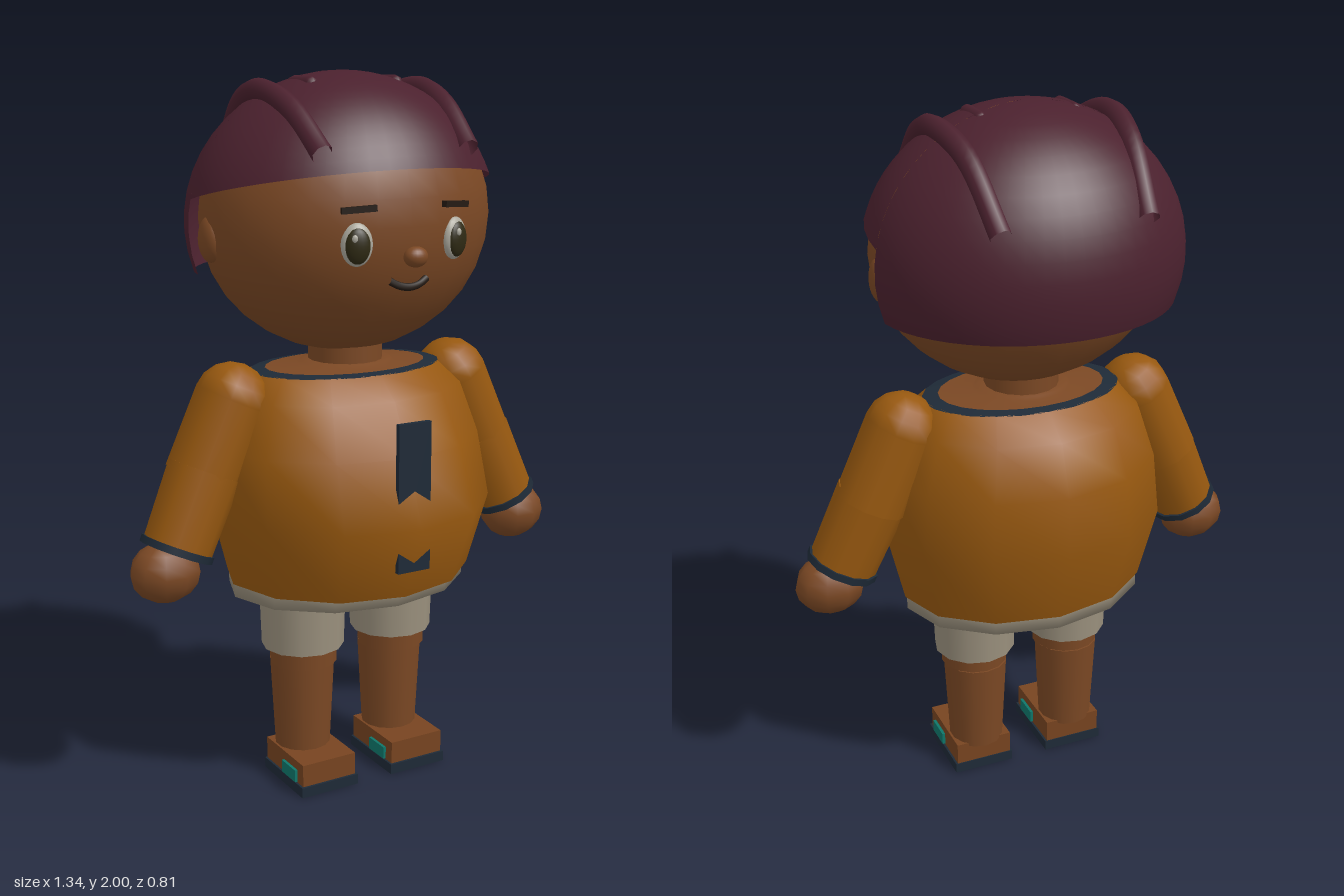
import * as THREE from 'three';

const mat = (name, color, side = THREE.FrontSide) => {
  const m = new THREE.MeshStandardMaterial({ color, side });
  m.name = name;
  return m;
};

export function createModel() {
  const skin = mat('skin', 0x7b4824);
  const hair = mat('hair', 0x4b212e, THREE.DoubleSide);
  const orange = mat('shirt orange', 0x97580f);
  const navy = mat('navy trim', 0x1e2a37, THREE.DoubleSide);
  const cream = mat('shorts cream', 0x9a907d, THREE.DoubleSide);
  const teal = mat('teal', 0x0f766a);
  const white = mat('eye white', 0xaba89c);
  const iris = mat('iris', 0x2f2a14);
  const dark = mat('brow and mouth', 0x241a13);
  const shoe = mat('shoe brown', 0x774420);

  const model = new THREE.Group();
  model.name = 'child';

  const add = (name, geo, material, x = 0, y = 0, z = 0, parent = model) => {
    const m = new THREE.Mesh(geo, material);
    m.name = name;
    m.position.set(x, y, z);
    parent.add(m);
    return m;
  };
  const ball = (rx, ry, rz, w = 20, h = 14) => new THREE.SphereGeometry(1, w, h).scale(rx, ry, rz);
  const box = (w, h, d) => new THREE.BoxGeometry(w, h, d);
  const tube = (pts, r, n = 20) => new THREE.TubeGeometry(
    new THREE.CatmullRomCurve3(pts.map(p => new THREE.Vector3(...p))), n, r, 8);

  // Oval rings [y, half width, front depth, back depth], joined from bottom to top
  const loft = (rings, n = 12) => {
    const pos = [], idx = [];
    rings.forEach(([y, rx, zf, zb], i) => {
      for (let j = 0; j < n; j++) {
        const a = j / n * Math.PI * 2, c = Math.cos(a);
        pos.push(Math.sin(a) * rx, y, c * (c > 0 ? zf : zb));
        if (i < rings.length - 1) {
          const p = i * n + j, q = i * n + (j + 1) % n;
          idx.push(p, q, p + n, q, q + n, p + n);
        }
      }
    });
    const g = new THREE.BufferGeometry();
    g.setAttribute('position', new THREE.Float32BufferAttribute(pos, 3));
    g.setIndex(idx);
    g.computeVertexNormals();
    return g;
  };

  // Torso
  add('shirt', loft([
    [0.61, 0.36, 0.325, 0.275], [0.82, 0.41, 0.405, 0.335], [1.0, 0.39, 0.335, 0.325],
    [1.14, 0.345, 0.265, 0.275], [1.2, 0.285, 0.19, 0.19],
  ]), orange);
  add('shirtUnderside', loft([[0.6, 0, 0, 0], [0.61, 0.36, 0.325, 0.275]].reverse()
    .map(([, rx, zf, zb]) => [0.608, rx, zf, zb]).reverse()), orange);
  add('collar', loft([[1.199, 0.285, 0.19, 0.19], [1.205, 0.24, 0.16, 0.16]], 24), navy);
  add('neckBase', loft([[1.203, 0.245, 0.165, 0.165], [1.208, 0.14, 0.12, 0.12], [1.217, 0.13, 0.115, 0.115],
    [1.219, 0.09, 0.09, 0.09]], 24), skin);
  add('neck', new THREE.CylinderGeometry(0.104, 0.104, 0.12, 16), skin, 0, 1.24, 0);
  add('chestStripe', box(0.1, 0.41, 0.015), navy, 0, 0.9, 0.359);
  add('waistband', loft([
    [0.61, 0.31, 0.25, 0.23], [0.575, 0.31, 0.25, 0.23], [0.572, 0.355, 0.29, 0.27], [0.612, 0.355, 0.29, 0.27],
  ]), cream);

  // Head
  add('head', ball(0.415, 0.37, 0.34, 28, 16), skin, 0, 1.615, 0);
  add('nose', ball(0.034, 0.027, 0.026), skin, 0, 1.54, 0.358);
  add('mouth', tube([[-0.056, 1.477, 0.322], [-0.03, 1.464, 0.328], [0, 1.459, 0.331],
    [0.03, 1.464, 0.328], [0.056, 1.477, 0.322]], 0.01), dark);

  // Hair shell: sphere sections stretched from the crown to a stepped hem
  const C = [0, 1.6, -0.02], R = [0.44, 0.4, 0.385], SPLIT = 1.714;
  const hairPatch = (front) => {
    const start = Math.PI / 2 + (front ? -SPLIT : SPLIT);
    const len = front ? 2 * SPLIT : 2 * (Math.PI - SPLIT);
    const g = new THREE.SphereGeometry(1, 24, 14, start, len, 0, 1);
    const p = g.attributes.position, nor = g.attributes.normal;
    for (let i = 0; i < p.count; i++) {
      const u = (i % 25) / 24, v = Math.floor(i / 25) / 14;
      const a = start + u * len - Math.PI / 2;
      let hem = Math.PI / 2;
      for (let k = 0; k < 10; k++) {
        const z = C[2] + R[2] * Math.sin(hem) * Math.cos(a);
        const y = front ? 1.67 + 0.22 * (z + 0.075) : 1.47;
        hem = Math.acos((y - C[1]) / R[1]);
      }
      const t = hem * v;
      const d = new THREE.Vector3(Math.sin(t) * Math.sin(a), Math.cos(t), Math.sin(t) * Math.cos(a));
      p.setXYZ(i, C[0] + d.x * R[0], C[1] + d.y * R[1], C[2] + d.z * R[2]);
      d.set(d.x / R[0], d.y / R[1], d.z / R[2]).normalize();
      nor.setXYZ(i, d.x, d.y, d.z);
    }
    return g;
  };
  add('hairFront', hairPatch(true), hair);
  add('hairBack', hairPatch(false), hair);

  for (const s of [1, -1]) {
    const side = s > 0 ? 'left' : 'right';

    // Hair strands
    add(side + 'Strand', tube([[s * 0.22, 1.8, 0.265], [s * 0.235, 1.912, 0.12], [s * 0.245, 1.952, -0.02],
      [s * 0.225, 1.91, -0.18], [s * 0.2, 1.75, -0.34]], 0.029, 28), hair);
    add(side + 'ShortStrand', new THREE.CapsuleGeometry(0.02, 0.09, 4, 8).rotateX(Math.PI / 2),
      hair, s * 0.13, 1.966, 0);

    // Face
    add(side + 'Ear', ball(0.03, 0.062, 0.046), skin, s * 0.4, 1.57, -0.015);
    const eye = new THREE.Group();
    eye.name = side + 'Eye';
    eye.position.set(s * 0.148, 1.575, 0.312);
    eye.rotation.y = s * 0.3;
    model.add(eye);
    add('eyeWhite', ball(0.042, 0.056, 0.022), white, 0, 0, 0, eye);
    add('iris', ball(0.034, 0.047, 0.018), iris, 0, -0.002, 0.009, eye);
    add('eyeGlint', ball(0.008, 0.01, 0.005, 10, 8), white, -0.01, 0.018, 0.024, eye);
    add(side + 'Brow', box(0.092, 0.016, 0.02), dark, s * 0.145, 1.664, 0.317).rotation.set(0, s * 0.3, s * -0.06);

    // Arm, hanging along its own -y axis from the shoulder
    const arm = new THREE.Group();
    arm.name = side + 'Arm';
    arm.position.set(s * 0.355, 1.14, 0);
    arm.rotation.z = s * 0.43;
    model.add(arm);
    add('shoulder', ball(0.1, 0.1, 0.108, 12, 8), orange, 0, 0, 0, arm);
    add('upperSleeve', new THREE.CylinderGeometry(0.1, 0.1, 0.23, 12).scale(1, 1, 1.07), orange, 0, -0.115, 0, arm);
    const fore = new THREE.Group();
    fore.name = 'forearm';
    fore.position.set(0, -0.21, 0.005);
    fore.rotation.x = -0.06;
    arm.add(fore);
    add('lowerSleeve', new THREE.CylinderGeometry(0.102, 0.096, 0.225, 12), orange, 0, -0.11, 0, fore);
    add('cuff', new THREE.CylinderGeometry(0.103, 0.103, 0.02, 12), navy, 0, -0.222, 0, fore);
    add(side + 'Hand', ball(0.1, 0.085, 0.083, 10, 8), skin, s * 0.572, 0.692, 0.022);

    // Leg
    add(side + 'ShortsLeg', new THREE.CylinderGeometry(0.125, 0.118, 0.22, 12), cream, s * 0.147, 0.51, 0.01);
    add(side + 'UpperLeg', new THREE.CylinderGeometry(0.1, 0.097, 0.12, 14), skin, s * 0.147, 0.41, 0.012);
    add(side + 'LowerLeg', new THREE.CylinderGeometry(0.094, 0.08, 0.27, 14), skin, s * 0.147, 0.22, 0.004);

    // Shoe
    add(side + 'Sole', box(0.182, 0.03, 0.23), navy, s * 0.147, 0.015, 0.055);
    add(side + 'Shoe', box(0.17, 0.065, 0.22), shoe, s * 0.147, 0.0625, 0.053);
    for (const e of [1, -1]) {
      add(side + 'ShoePatch', box(0.009, 0.036, 0.08), teal, s * 0.147 + e * 0.089, 0.051, 0.09);
    }
  }
  return model;
}
